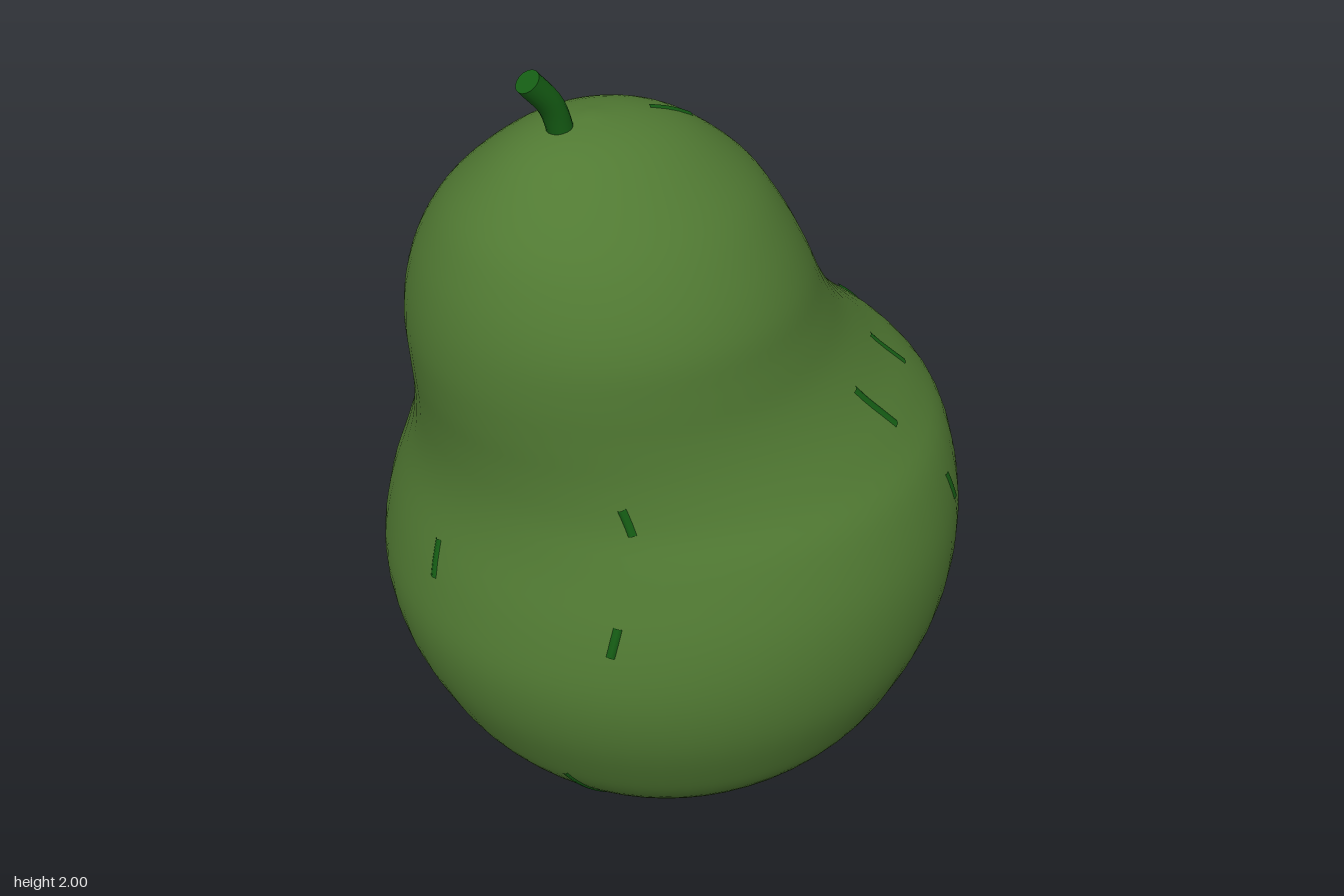
import * as THREE from 'three';
import { mergeVertices } from 'three/addons/utils/BufferGeometryUtils.js';
import { ParametricGeometry } from 'three/addons/geometries/ParametricGeometry.js';

// Fruit cross-sections from base to top: y, xMin, xMax, zMin, zMax
const rows = [
  [0.0, 0, 0, 0.005, 0.005],
  [0.012, -0.125, 0.125, -0.12, 0.125],
  [0.05, -0.25, 0.25, -0.24, 0.245],
  [0.11, -0.365, 0.365, -0.355, 0.36],
  [0.2, -0.475, 0.475, -0.46, 0.465],
  [0.3, -0.56, 0.56, -0.545, 0.55],
  [0.4, -0.618, 0.618, -0.6, 0.605],
  [0.55, -0.678, 0.675, -0.655, 0.66],
  [0.7, -0.7, 0.7, -0.675, 0.68],
  [0.85, -0.675, 0.69, -0.66, 0.668],
  [1.0, -0.63, 0.65, -0.605, 0.62],
  [1.1, -0.614, 0.578, -0.545, 0.56],
  [1.2, -0.615, 0.465, -0.49, 0.51],
  [1.3, -0.625, 0.37, -0.453, 0.477],
  [1.4, -0.63, 0.305, -0.436, 0.46],
  [1.5, -0.62, 0.255, -0.408, 0.443],
  [1.6, -0.592, 0.2, -0.357, 0.4],
  [1.7, -0.541, 0.128, -0.275, 0.33],
  [1.8, -0.445, 0.005, -0.155, 0.222],
  [1.85, -0.35, -0.112, -0.062, 0.13],
  [1.87, -0.235, -0.235, 0.035, 0.035],
];
const spline = (pick) => new THREE.CatmullRomCurve3(rows.map(pick), false, 'catmullrom', 0.5);
const xCurve = spline((r) => new THREE.Vector3(r[1], r[2], r[0]));
const zCurve = spline((r) => new THREE.Vector3(r[3], r[4], r[0]));

// Point on the skin at height parameter t and angle a (0 = +x, 90 degrees = +z)
function skin(t, a, target = new THREE.Vector3()) {
  const x = xCurve.getPoint(t), z = zCurve.getPoint(t);
  return target.set(
    (x.x + x.y) / 2 + ((x.y - x.x) / 2) * Math.cos(a),
    x.z,
    (z.x + z.y) / 2 + ((z.y - z.x) / 2) * Math.sin(a)
  );
}

// Point pushed below the skin along the surface normal
function sunkPoint(t, a, depth) {
  const p = skin(t, a);
  const up = skin(t + 0.002, a).sub(p);
  const around = skin(t, a + 0.01).sub(p);
  return p.addScaledVector(up.cross(around).normalize(), -depth);
}

// Height parameter for a given y
function heightParam(y) {
  let lo = 0, hi = 1;
  for (let i = 0; i < 30; i++) {
    const mid = (lo + hi) / 2;
    if (xCurve.getPoint(mid).z < y) lo = mid;
    else hi = mid;
  }
  return lo;
}

// Skin streaks: top y, bottom y, angle at top, angle at bottom (degrees)
const streaks = [
  [1.23, 1.12, 60, 60], [1.22, 1.13, 33, 35], [0.95, 0.86, 54, 51],
  [0.6, 0.51, 38, 37], [1.16, 1.1, 133, 133], [0.9, 0.83, 138, 139],
  [0.37, 0.19, 152, 148], [1.15, 1.07, -2, -2], [0.69, 0.58, 15, 13],
  [0.7, 0.53, -35, -32], [1.52, 1.45, -35, -40], [1.845, 1.795, 6, 5],
  [1.0, 0.93, -71, -65], [1.22, 1.13, -92, -98], [0.88, 0.79, -114, -110],
  [0.74, 0.63, -95, -91], [0.94, 0.85, 181, 180], [1.48, 1.38, -136, -137],
  [0.43, 0.33, -147, -143],
];

export function createModel() {
  const group = new THREE.Group();
  const skinMat = new THREE.MeshStandardMaterial({ color: 0x517a33 });
  const darkMat = new THREE.MeshStandardMaterial({ color: 0x155d14 });
  const add = (geometry, material, name, parent = group) => {
    const mesh = new THREE.Mesh(geometry, material);
    mesh.name = name;
    parent.add(mesh);
    return mesh;
  };

  // Leaning fruit body, welded for smooth normals across seam and poles
  let body = new ParametricGeometry((u, v, p) => skin(v, -2 * Math.PI * u, p), 64, 80);
  body.deleteAttribute('uv');
  body.deleteAttribute('normal');
  body = mergeVertices(body, 1e-5);
  body.computeVertexNormals();
  add(body, skinMat, 'fruitBody');

  // Bent stem with a flat cut end
  const stemCurve = new THREE.CatmullRomCurve3([
    new THREE.Vector3(-0.3, 1.82, 0.032),
    new THREE.Vector3(-0.328, 1.91, 0.032),
    new THREE.Vector3(-0.383, 1.98, 0.032),
  ]);
  const stem = new THREE.Group();
  stem.name = 'stem';
  group.add(stem);
  add(new THREE.TubeGeometry(stemCurve, 12, 0.028, 16), darkMat, 'stemShaft', stem);
  const cut = add(new THREE.CircleGeometry(0.028, 16), darkMat, 'stemCutEnd', stem);
  const tip = stemCurve.getPoint(1);
  cut.position.copy(tip);
  cut.lookAt(tip.clone().add(stemCurve.getTangent(1)));

  // Fine streaks, mostly sunk into the skin
  const streakGroup = new THREE.Group();
  streakGroup.name = 'skinStreaks';
  group.add(streakGroup);
  for (const [y0, y1, a0, a1] of streaks) {
    const points = [0, 0.33, 0.67, 1].map((k) => {
      const a = THREE.MathUtils.degToRad(THREE.MathUtils.lerp(a0, a1, k));
      return sunkPoint(heightParam(THREE.MathUtils.lerp(y0, y1, k)), a, 0.009);
    });
    add(new THREE.TubeGeometry(new THREE.CatmullRomCurve3(points), 8, 0.013, 8), darkMat, 'skinStreak', streakGroup);
  }
  return group;
}
